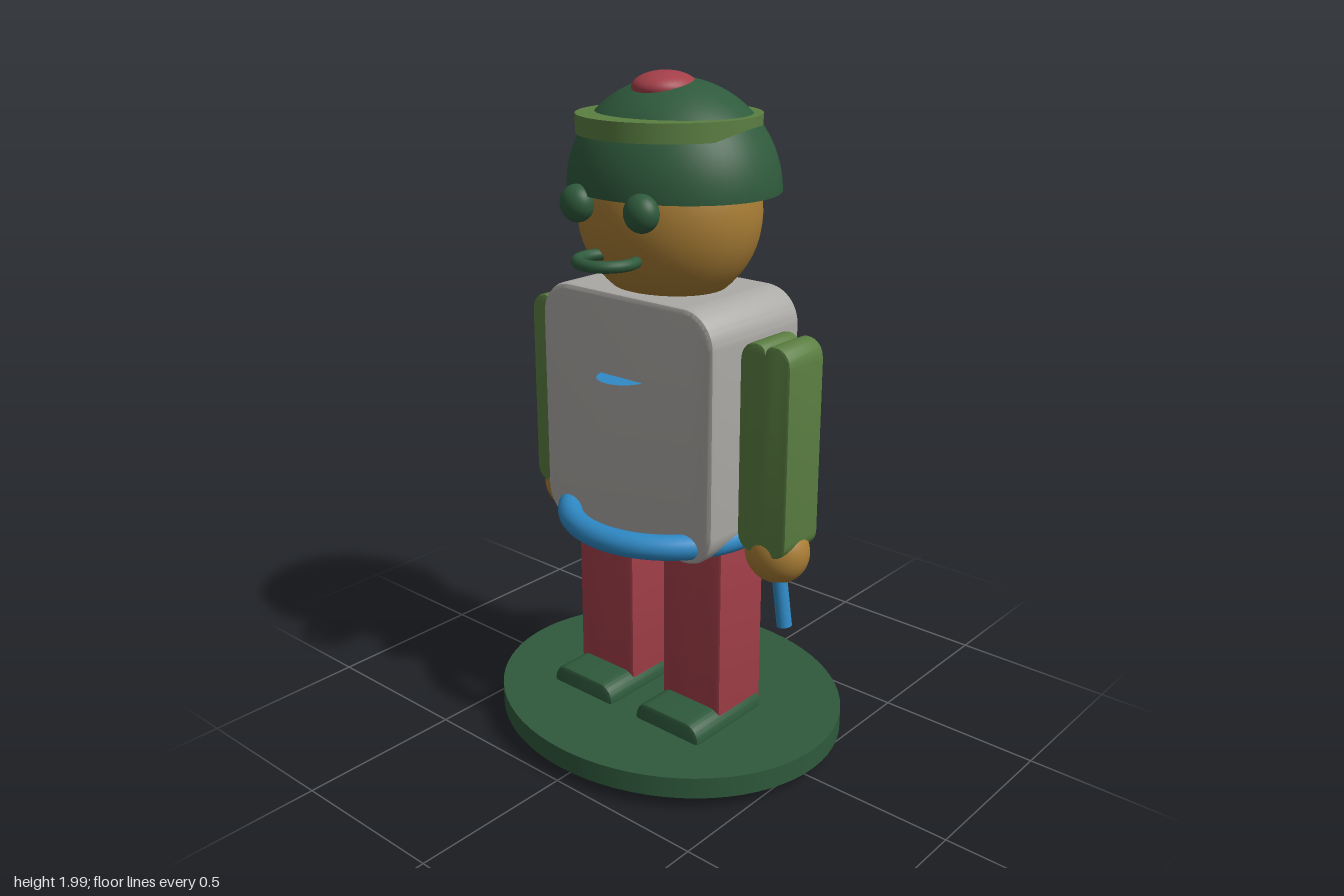
import * as THREE from 'three';
import { toCreasedNormals } from 'three/addons/utils/BufferGeometryUtils.js';

const mat = (name, color, side = THREE.FrontSide) => {
  const m = new THREE.MeshStandardMaterial({ color, side });
  m.name = name;
  return m;
};

// Rounded rectangle in xy, centred on x, from y0 to y1
function roundedShape(w, y0, y1, r) {
  const h = w / 2, s = new THREE.Shape();
  s.moveTo(-h + r, y0);
  s.lineTo(h - r, y0);
  s.absarc(h - r, y0 + r, r, -Math.PI / 2, 0);
  s.absarc(h - r, y1 - r, r, 0, Math.PI / 2);
  s.absarc(-h + r, y1 - r, r, Math.PI / 2, Math.PI);
  s.absarc(-h + r, y0 + r, r, Math.PI, Math.PI * 1.5);
  return s;
}

// Rectangle whose top and bottom each have two rounded lobes
function lobedShape(w, y0, y1, rise) {
  const h = w / 2, s = new THREE.Shape();
  const top = y1 - rise, low = y0 + rise;
  s.moveTo(-h, low);
  s.bezierCurveTo(-h, y0, 0, y0 - rise * 0.2, 0, y0 + rise * 0.6);
  s.bezierCurveTo(0, y0 - rise * 0.2, h, y0, h, low);
  s.lineTo(h, top);
  s.bezierCurveTo(h, y1 + rise * 0.25, 0, y1 + rise * 0.25, 0, y1 - rise * 0.4);
  s.bezierCurveTo(0, y1 + rise * 0.25, -h, y1 + rise * 0.25, -h, top);
  return s;
}

// Extrude a shape along z between z0 and z1 with a small bevel
function extrude(shape, z0, z1, bevel) {
  const g = new THREE.ExtrudeGeometry(shape, {
    depth: z1 - z0 - 2 * bevel, bevelEnabled: bevel > 0, bevelSize: bevel,
    bevelThickness: bevel, bevelOffset: -bevel, bevelSegments: 2, curveSegments: 10,
  });
  g.translate(0, 0, z0 + bevel);
  return toCreasedNormals(g, 0.7);
}

export function createModel() {
  const model = new THREE.Group();
  model.name = 'figurine';
  const darkGreen = mat('dark green', 0x2f5a3c);
  const green = mat('leaf green', 0x5b7f42);
  const skin = mat('ochre', 0xa87d35);
  const red = mat('red', 0xa33f49);
  const grey = mat('grey', 0xadaba7);
  const blue = mat('blue', 0x2f8ac6);
  const blueSheet = mat('blue sheet', 0x2f8ac6, THREE.DoubleSide);

  const add = (name, geo, material, x = 0, y = 0, z = 0) => {
    const m = new THREE.Mesh(geo, material);
    m.name = name;
    m.position.set(x, y, z);
    model.add(m);
    return m;
  };
  const ball = (name, material, p, r) =>
    add(name, new THREE.SphereGeometry(1, 40, 28).scale(...r), material, ...p);

  // Oval stand
  add('stand', new THREE.CylinderGeometry(1, 1, 0.065, 72).scale(0.56, 1, 0.485), darkGreen, 0, 0.079, 0);

  // Torso, belt and the thin chest badge
  add('torso', extrude(roundedShape(0.64, 0.665, 1.41, 0.105), -0.194, 0.194, 0.015), grey);
  add('belt', new THREE.TorusGeometry(0.298, 0.037, 18, 72).rotateX(Math.PI / 2), blue, 0, 0.72, 0);
  add('badge', new THREE.CircleGeometry(0.08, 32).rotateX(-Math.PI / 2), blueSheet, -0.01, 1.17, 0.18);

  // Paired limbs
  for (const [side, s] of [['left', 1], ['right', -1]]) {
    add(side + 'Leg', extrude(lobedShape(0.22, 0.005, 0.76, 0.045), -0.098, 0.1, 0.006), red, s * 0.172);
    add(side + 'Foot', extrude(roundedShape(0.245, 0.06, 0.168, 0.05), -0.09, 0.215, 0.012), darkGreen, s * 0.172);
    add(side + 'Arm', extrude(lobedShape(0.166, 0.7, 1.317, 0.055), -0.077, 0.077, 0.006), green, s * 0.403);
    ball(side + 'Hand', skin, [s * 0.405, 0.698, 0], [0.097, 0.095, 0.085]);
    ball(side + 'Eye', darkGreen, [s * 0.117, 1.657, 0.246], [0.052, 0.052, 0.043]);
  }

  // Stick in the left hand
  const stick = add('stick', new THREE.CylinderGeometry(0.022, 0.022, 0.24, 20), blue, 0.435, 0.602, 0.021);
  stick.rotation.z = 0.15;

  // Head and mouth
  ball('head', skin, [0, 1.62, 0], [0.275, 0.27, 0.24]);
  add('mouth', new THREE.TorusGeometry(0.081, 0.0165, 14, 40).rotateX(Math.PI / 2), darkGreen, 0, 1.517, 0.255);

  // Domed hat with closed underside, band and top button
  const dome = new THREE.SphereGeometry(1, 56, 24, 0, Math.PI * 2, 0, Math.PI / 2);
  add('hat', dome.scale(0.318, 0.302, 0.277), darkGreen, 0, 1.68, -0.018);
  add('hatUnderside', new THREE.CircleGeometry(1, 56).rotateX(Math.PI / 2).scale(0.318, 1, 0.277),
    darkGreen, 0, 1.68, -0.018);
  add('hatBand', new THREE.CylinderGeometry(0.258, 0.258, 0.053, 64), green, 0, 1.861, 0);
  ball('hatButton', red, [0, 1.955, 0.018], [0.088, 0.045, 0.096]);

  return model;
}
